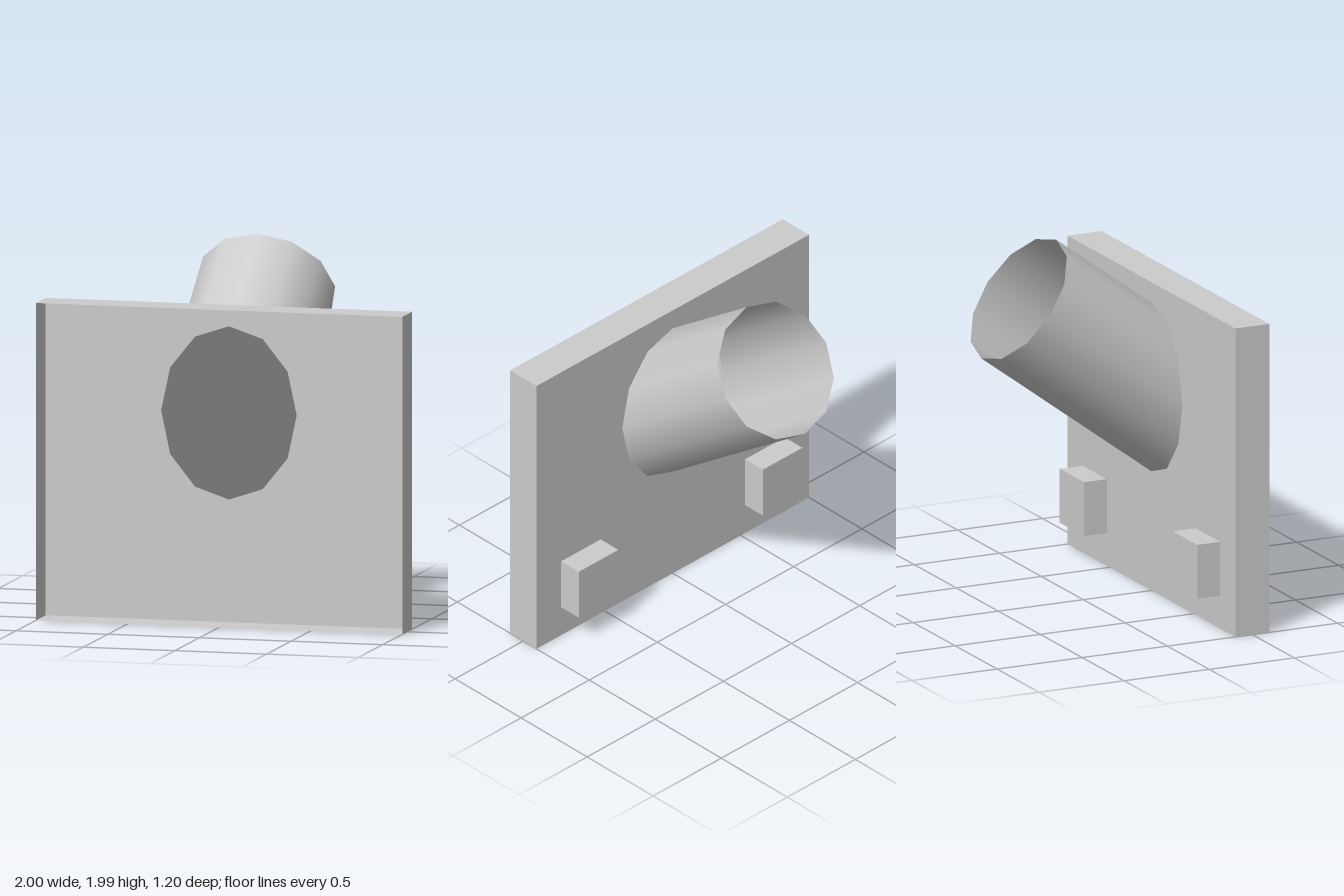
import * as THREE from 'three';

const BACK_Z = 0.4, FRONT_Z = 0.6, HEIGHT = 1.69;
const RADIUS = 0.37, SIDES = 12;
const TILT = -0.931;
const TUBE_TOP = new THREE.Vector3(0, 1.695, -0.38);

export function createModel() {
  const grey = new THREE.MeshStandardMaterial({ color: 0xcccccc, side: THREE.DoubleSide });
  grey.name = 'light grey';
  const model = new THREE.Group();
  model.name = 'wallMount';
  const add = (geometry, name) => {
    const mesh = new THREE.Mesh(geometry, grey);
    mesh.name = name;
    model.add(mesh);
    return mesh;
  };

  const axis = new THREE.Vector3(0, Math.cos(TILT), Math.sin(TILT));
  const footY = TUBE_TOP.y + axis.y * (BACK_Z - TUBE_TOP.z) / axis.z;
  const footHalfHeight = RADIUS / Math.abs(axis.z);

  // Four thin walls of the tray, open at the front
  const walls = new THREE.BoxGeometry(2, HEIGHT, FRONT_Z - BACK_Z);
  walls.setIndex([...walls.index.array].slice(0, 24));
  walls.clearGroups();
  add(walls, 'trayWalls').position.set(0, HEIGHT / 2, (FRONT_Z + BACK_Z) / 2);

  // Back panel, cut out where the tube meets it
  const outline = new THREE.Shape([
    new THREE.Vector2(-1, 0), new THREE.Vector2(1, 0),
    new THREE.Vector2(1, HEIGHT), new THREE.Vector2(-1, HEIGHT),
  ]);
  const hole = [];
  for (let i = 0; i < SIDES; i++) {
    const a = (i / SIDES) * Math.PI * 2;
    hole.push(new THREE.Vector2(RADIUS * Math.cos(a), footY + footHalfHeight * Math.sin(a)));
  }
  outline.holes.push(new THREE.Path(hole));
  // Mirrored in x so that it faces the back
  add(new THREE.ShapeGeometry(outline).rotateY(Math.PI), 'backPanel').position.z = BACK_Z;

  // Slanted open tube, its foot mitred to the panel along the tube axis
  const tube = new THREE.CylinderGeometry(RADIUS, RADIUS, 1, SIDES, 1, true);
  tube.translate(0, -0.5, 0).rotateX(TILT).translate(...TUBE_TOP);
  const p = tube.attributes.position;
  for (let i = SIDES + 1; i < p.count; i++) {
    const t = (BACK_Z - p.getZ(i)) / axis.z;
    p.setXYZ(i, p.getX(i), p.getY(i) + axis.y * t, BACK_Z);
  }
  add(tube, 'tube');

  // Closed foot of the tube, shaded along the tube axis
  const foot = new THREE.CircleGeometry(1, SIDES);
  foot.rotateY(Math.PI).scale(RADIUS, footHalfHeight, 1);
  const n = foot.attributes.normal;
  for (let i = 0; i < n.count; i++) n.setXYZ(i, axis.x, axis.y, axis.z);
  add(foot, 'tubeFoot').position.set(0, footY, BACK_Z);

  // Two small blocks low on the back
  for (const [side, name] of [[1, 'leftBlock'], [-1, 'rightBlock']]) {
    const block = new THREE.BoxGeometry(0.29, 0.295, 0.134);
    add(block, name).position.set(side * 0.675, 0.328, 0.332);
  }
  return model;
}
